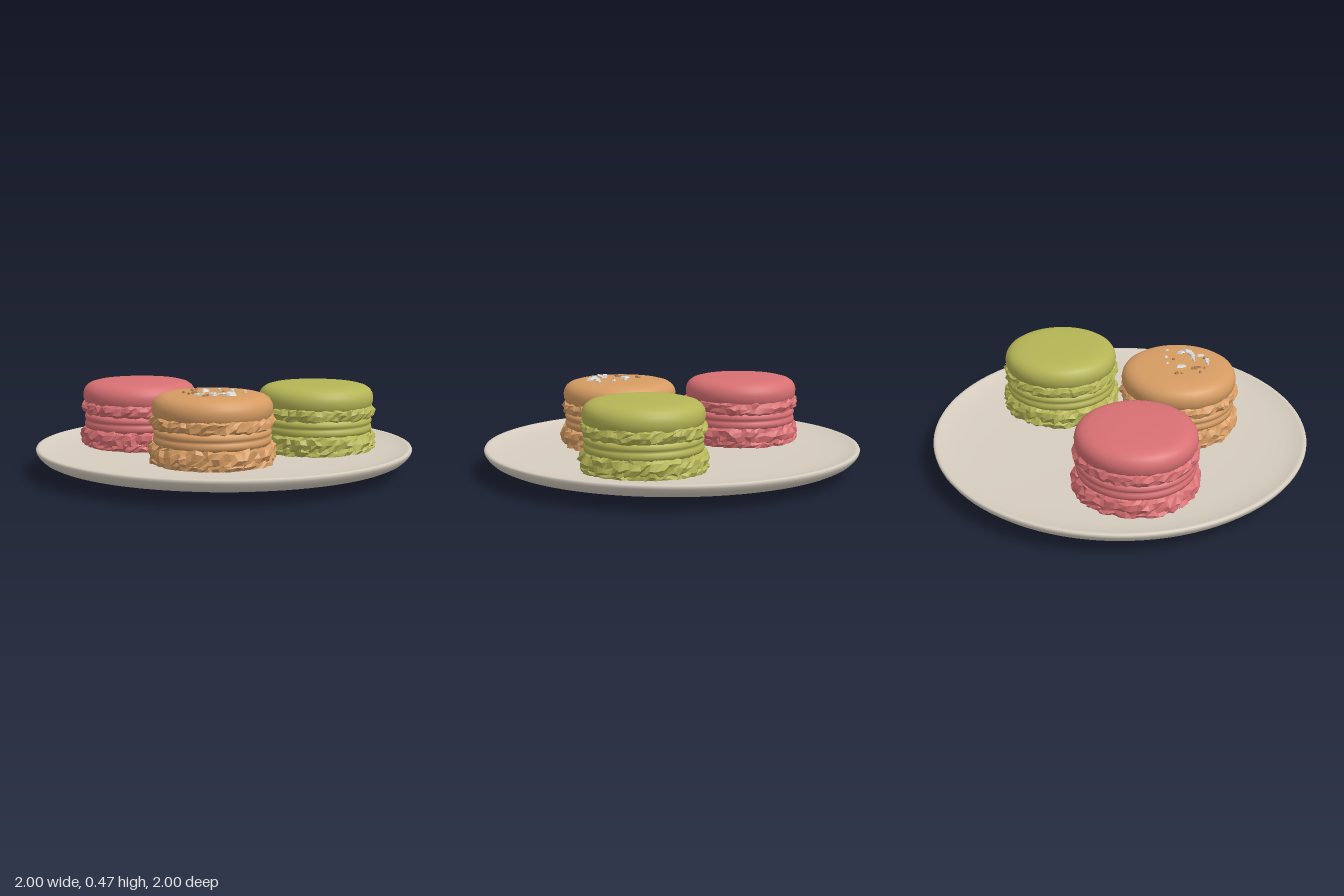
import * as THREE from 'three';

const paint = (name, color) => {
  const m = new THREE.MeshStandardMaterial({ color });
  m.name = name;
  return m;
};

// small repeatable random source
let seed = 7;
const rand = () => {
  seed = (seed * 16807) % 2147483647;
  return seed / 2147483647;
};
const jitter = (a) => (rand() - 0.5) * 2 * a;

const part = (name, geometry, material, parent) => {
  const mesh = new THREE.Mesh(geometry, material);
  mesh.name = name;
  parent.add(mesh);
  return mesh;
};

const lathe = (points, segments = 64) =>
  new THREE.LatheGeometry(points.map(([x, y]) => new THREE.Vector2(x, y)), segments);

const flat = (geometry) => {
  const g = geometry.toNonIndexed();
  g.computeVertexNormals();
  return g;
};

// crumbly ring around the edge of a shell: a squashed torus with rough vertices
function ruffleGeometry(radius, halfHeight, rough) {
  const rings = 9, sides = 72;
  const g = new THREE.TorusGeometry(radius, 0.028, rings, sides);
  g.rotateX(-Math.PI / 2);
  const offsets = Array.from({ length: rings * sides }, () => [jitter(rough), jitter(rough * 0.6), jitter(0.009)]);
  const p = g.attributes.position;
  for (let j = 0; j <= rings; j++) {
    for (let i = 0; i <= sides; i++) {
      const k = j * (sides + 1) + i;
      const [out, up, around] = offsets[(j % rings) * sides + (i % sides)];
      const x = p.getX(k), z = p.getZ(k);
      const r = Math.hypot(x, z) + out, a = Math.atan2(z, x) + around / radius;
      p.setXYZ(k, r * Math.cos(a), p.getY(k) * halfHeight / 0.028 + up, r * Math.sin(a));
    }
  }
  return flat(g);
}

function macaron(name, material, x, z) {
  const group = new THREE.Group();
  group.name = name;
  group.position.set(x, 0, z);

  // smooth upper shell
  part('topShell', lathe([
    [0, 0.315], [0.28, 0.315], [0.296, 0.335], [0.306, 0.36], [0.308, 0.385], [0.303, 0.408],
    [0.29, 0.428], [0.268, 0.443], [0.235, 0.452], [0.18, 0.456], [0.09, 0.458], [0, 0.458],
  ]), material, group);

  // pressed filling with a crease at mid height
  part('filling', lathe([
    [0.25, 0.185], [0.28, 0.192], [0.297, 0.205], [0.302, 0.22], [0.298, 0.236], [0.29, 0.242],
    [0.299, 0.25], [0.302, 0.262], [0.297, 0.276], [0.28, 0.288], [0.25, 0.292],
  ]), material, group);

  // lower shell, resting in the plate
  part('bottomShell', lathe([
    [0, 0.09], [0.26, 0.09], [0.296, 0.11], [0.304, 0.14], [0.3, 0.18], [0.28, 0.2], [0, 0.2],
  ]), material, group);

  part('topRuffle', ruffleGeometry(0.287, 0.034, 0.011), material, group).position.y = 0.314;
  part('bottomRuffle', ruffleGeometry(0.293, 0.042, 0.013), material, group).position.y = 0.162;
  const skirt = part('bottomRuffleSkirt', ruffleGeometry(0.288, 0.03, 0.013), material, group);
  skirt.position.y = 0.122;
  return group;
}

// flat irregular flake
function flake(size, thickness) {
  const g = new THREE.CylinderGeometry(size * 0.7, size, thickness, 5);
  g.scale(1, 1, 0.5 + rand() * 0.5);
  return flat(g);
}

export function createModel() {
  const model = new THREE.Group();
  model.name = 'macaronPlate';
  const china = paint('plateCream', 0xd6cdbf);
  const pink = paint('raspberryPink', 0xd87073);
  const caramel = paint('caramel', 0xd69c63);
  const green = paint('pistachio', 0xb5b556);
  const salt = paint('saltWhite', 0xd6d6d4);
  const crumb = paint('crumbBrown', 0xa97c50);

  // shallow plate: recessed foot, sloped underside, rounded rim, dished top
  part('plate', lathe([
    [0, 0.012], [0.5, 0.012], [0.56, 0.007], [0.6, 0.001], [0.62, 0], [0.65, 0.01], [0.7, 0.023],
    [0.94, 0.07], [0.965, 0.082], [0.985, 0.1], [0.997, 0.118], [1, 0.13], [0.996, 0.138], [0.985, 0.14],
    [0.972, 0.137], [0.94, 0.126], [0.88, 0.117], [0.78, 0.109], [0.6, 0.103], [0.4, 0.1], [0, 0.1],
  ], 96), china, model);

  model.add(macaron('raspberryMacaron', pink, -0.25, -0.45));
  model.add(macaron('pistachioMacaron', green, 0.44, 0.24));
  const caramelMacaron = macaron('caramelMacaron', caramel, -0.25, 0.24);
  model.add(caramelMacaron);

  // salt flakes scattered on the caramel shell: x, z, size
  const toppings = new THREE.Group();
  toppings.name = 'saltFlakes';
  caramelMacaron.add(toppings);
  const spots = [
    [-0.02, -0.03, 0.034], [-0.03, 0.13, 0.03], [0.0, 0.16, 0.036], [-0.08, 0.13, 0.026],
    [0.03, 0.13, 0.024], [-0.14, 0.06, 0.02], [-0.13, 0.09, 0.018], [-0.06, 0.07, 0.016],
    [0.09, 0.05, 0.014], [-0.05, 0.09, 0.013], [0.06, -0.02, 0.012], [0.11, 0.13, 0.012],
  ];
  spots.forEach(([x, z, size]) => {
    const f = part('saltFlake', flake(size, 0.009), salt, toppings);
    f.position.set(x, 0.464, z);
    f.rotation.set(jitter(0.25), rand() * 6, jitter(0.25));
  });
  for (let i = 0; i < 12; i++) {
    const f = part('crumb', flake(0.009 + rand() * 0.008, 0.009), crumb, toppings);
    f.position.set(-0.02 + jitter(0.13), 0.461, 0.02 + jitter(0.15));
    f.rotation.set(jitter(0.4), rand() * 6, jitter(0.4));
  }
  return model;
}
